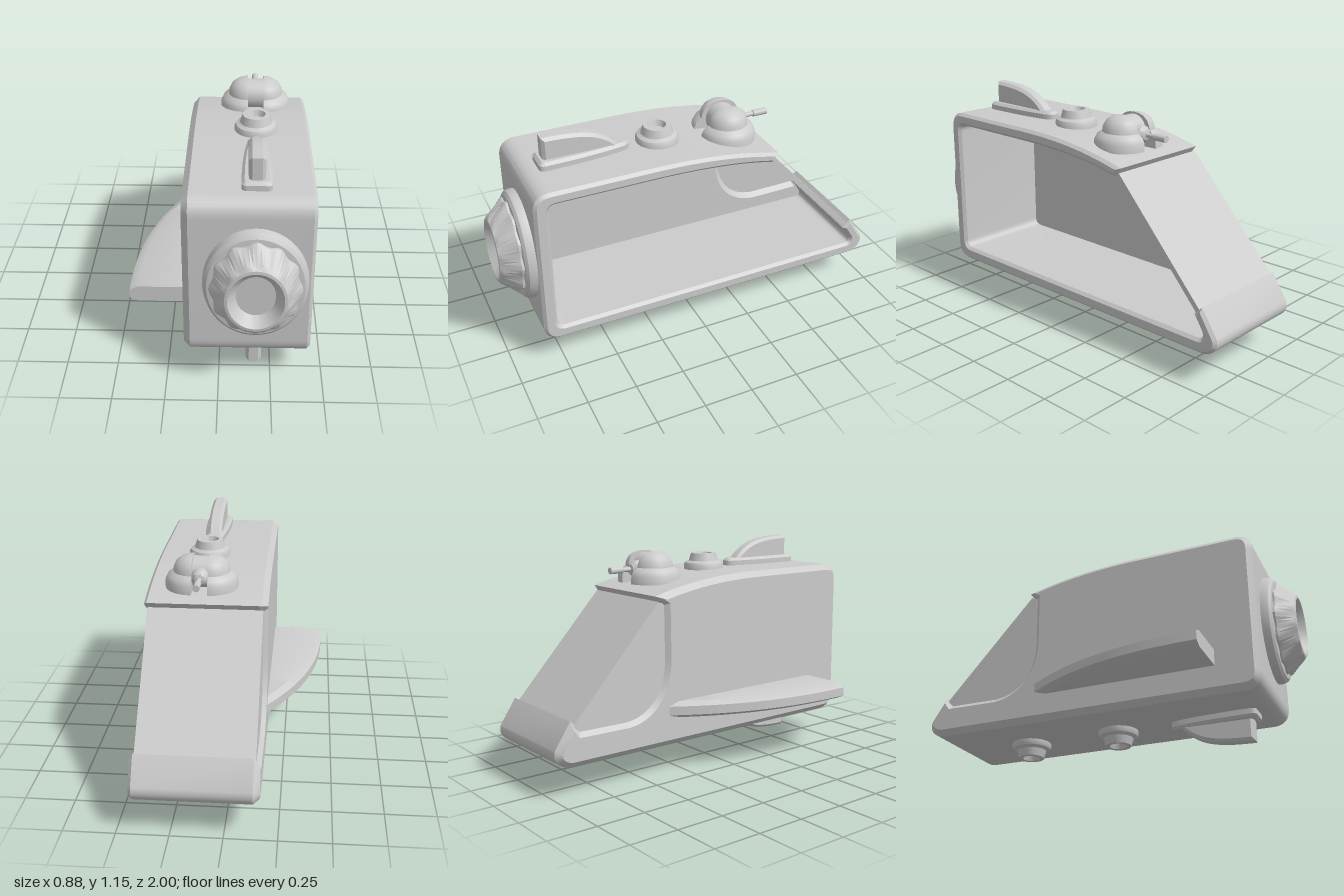
import * as THREE from 'three';
import { toCreasedNormals } from 'three/addons/utils/BufferGeometryUtils.js';

const MID = 0.17; // centre line of all fittings
const grey = new THREE.MeshStandardMaterial({ color: 0xcccccc, side: THREE.DoubleSide });

function part(parent, name, geometry, crease = 0.5) {
  const m = new THREE.Mesh(toCreasedNormals(geometry, crease), grey);
  m.name = name;
  parent.add(m);
  return m;
}

// Extrusion from 0 to depth with an inward chamfer at both ends
function slab(shape, depth, bevel) {
  return new THREE.ExtrudeGeometry(shape, {
    depth: depth - 2 * bevel, bevelEnabled: bevel > 0, bevelThickness: bevel,
    bevelSize: bevel, bevelOffset: -bevel, bevelSegments: 1, curveSegments: 14,
  }).translate(0, 0, bevel);
}

// Side profile (u = -z, y) extruded along x between x0 and x1
const across = (shape, x0, x1, bevel) =>
  slab(shape, x1 - x0, bevel).rotateY(Math.PI / 2).translate(x0, 0, 0);

const lathe = (pts, segs = 40, start = 0, len = Math.PI * 2) =>
  new THREE.LatheGeometry(pts.map(p => new THREE.Vector2(...p)), segs, start, len);

// Hull side profile; innerEdge draws from the nose lip to the roof tip
function hullProfile(innerEdge) {
  const s = new THREE.Shape();
  s.moveTo(-0.755, 0.155);
  s.lineTo(0.91, 0.155);
  s.bezierCurveTo(0.965, 0.157, 1.015, 0.195, 0.995, 0.25);
  s.lineTo(0.91, 0.378);
  innerEdge(s);
  s.lineTo(0.417, 0.92);
  s.bezierCurveTo(0.25, 0.965, 0.05, 1, -0.25, 1);
  s.lineTo(-0.755, 1);
  s.quadraticCurveTo(-0.845, 1, -0.845, 0.91);
  s.lineTo(-0.845, 0.245);
  s.quadraticCurveTo(-0.845, 0.155, -0.755, 0.155);
  return s;
}

function buildHull(g) {
  // Open C-shaped shell
  const shell = hullProfile(s => {
    s.lineTo(0.868, 0.335);
    s.lineTo(0.915, 0.262);
    s.quadraticCurveTo(0.93, 0.225, 0.89, 0.225);
    s.lineTo(-0.735, 0.225);
    s.quadraticCurveTo(-0.775, 0.225, -0.775, 0.265);
    s.lineTo(-0.775, 0.895);
    s.quadraticCurveTo(-0.775, 0.935, -0.735, 0.935);
    s.lineTo(-0.25, 0.935);
    s.bezierCurveTo(0, 0.935, 0.22, 0.915, 0.385, 0.875);
  });
  part(g, 'hullShell', across(shell, -0.145, 0.435, 0.015));

  // Closed side wall with the cut-away window corner
  const wall = hullProfile(s => {
    s.lineTo(0.865, 0.328);
    s.lineTo(0.6, 0.325);
    s.bezierCurveTo(0.46, 0.335, 0.375, 0.44, 0.372, 0.6);
    s.lineTo(0.375, 0.872);
  });
  part(g, 'sideWall', across(wall, -0.165, -0.1, 0.03));

  // Slanted windscreen and side glass
  const screen = new THREE.Shape([[0.385, 0.875], [0.885, 0.33], [0.902, 0.35], [0.402, 0.893]]
    .map(p => new THREE.Vector2(...p)));
  part(g, 'windscreen', across(screen, -0.143, 0.418, 0));
  const glass = new THREE.Shape([[0.355, 0.3], [0.885, 0.3], [0.89, 0.345], [0.395, 0.885], [0.355, 0.885]]
    .map(p => new THREE.Vector2(...p)));
  part(g, 'sideGlass', across(glass, -0.142, -0.125, 0));
}

// Oval front knob with a scalloped grip and a dished centre
function buildKnob(g) {
  const knob = new THREE.Group();
  knob.name = 'frontKnob';
  knob.position.set(MID, 0.585, 0);
  knob.scale.x = 0.85;
  part(knob, 'knobBase', lathe([[0.285, 0.83], [0.285, 0.865], [0.278, 0.885], [0.262, 0.897],
    [0.235, 0.9], [0, 0.9]], 56).rotateX(Math.PI / 2));
  const grip = lathe([[0.241, 0.88], [0.241, 0.91], [0.178, 0.985], [0.165, 0.998], [0.15, 1],
    [0.14, 0.99], [0.105, 0.955], [0, 0.955]], 72);
  const p = grip.attributes.position;
  for (let i = 0; i < p.count; i++) {
    const x = p.getX(i), z = p.getZ(i), r = Math.hypot(x, z);
    const amp = r > 0.2 ? 0.009 : r > 0.17 ? -0.006 : 0;
    if (!amp) continue;
    const k = (r + amp * Math.cos(12 * Math.atan2(x, z))) / r;
    p.setX(i, x * k);
    p.setZ(i, z * k);
  }
  part(knob, 'knobGrip', grip.rotateX(Math.PI / 2), 0.35);
  g.add(knob);
}

// Flat side wing: chamfered section swept along z, its tip curving into the wall
function buildWing(g) {
  const section = new THREE.Shape([[-0.13, 0.295], [-0.13, 0.38], [-0.4, 0.38], [-0.44, 0.36],
    [-0.44, 0.315], [-0.4, 0.295]].map(p => new THREE.Vector2(...p)));
  const geo = new THREE.ExtrudeGeometry(section, { depth: 0.98, steps: 28, bevelEnabled: false });
  geo.translate(0, 0, -0.357);
  const p = geo.attributes.position;
  for (let i = 0; i < p.count; i++) {
    if (p.getX(i) > -0.3) continue;
    const t = Math.max(0, (0.623 - p.getZ(i)) / 0.98);
    p.setX(i, Math.min(p.getX(i) + 0.275 * Math.pow(t, 2.4), -0.13));
  }
  part(g, 'sideWing', geo);
}

// Upright fin on a tapered pad
function finParts() {
  const fin = new THREE.Group();
  const pad = new THREE.Shape();
  pad.moveTo(-0.045, -0.745);
  pad.lineTo(0.045, -0.745);
  pad.quadraticCurveTo(0.07, -0.745, 0.07, -0.715);
  pad.bezierCurveTo(0.07, -0.55, 0.06, -0.42, 0.042, -0.32);
  pad.quadraticCurveTo(0.03, -0.283, 0, -0.283);
  pad.quadraticCurveTo(-0.03, -0.283, -0.042, -0.32);
  pad.bezierCurveTo(-0.06, -0.42, -0.07, -0.55, -0.07, -0.715);
  pad.quadraticCurveTo(-0.07, -0.745, -0.045, -0.745);
  part(fin, 'finPad', slab(pad, 0.06, 0.014).rotateX(-Math.PI / 2).translate(MID, 0.98, 0));
  const blade = new THREE.Shape();
  blade.moveTo(-0.72, 1);
  blade.lineTo(-0.33, 1);
  blade.lineTo(-0.34, 1.035);
  blade.bezierCurveTo(-0.42, 1.12, -0.5, 1.148, -0.72, 1.15);
  part(fin, 'finBlade', across(blade, MID - 0.038, MID + 0.038, 0.015));
  return fin;
}

function nozzle(g, name, y, z, dir) {
  const m = part(g, name, lathe([[0.107, -0.02], [0.107, 0.015], [0.1, 0.03], [0.085, 0.036],
    [0.08, 0.04], [0.068, 0.08], [0.046, 0.08], [0.036, 0.05], [0, 0.05]]));
  m.position.set(MID, y, z);
  if (dir < 0) m.rotation.x = Math.PI;
}

// Roof turret: two half domes, a drum between them and a short barrel
function buildTurret(g) {
  const turret = new THREE.Group();
  turret.name = 'roofTurret';
  turret.position.set(MID, 0.99, -0.235);
  const prof = [[0.142, -0.04], [0.14, 0.0], [0.128, 0.025], [0.102, 0.042], [0.098, 0.065],
    [0.084, 0.092], [0.06, 0.111], [0.03, 0.12], [0, 0.122]];
  const cut = new THREE.Shape([...prof, ...prof.slice(0, -1).reverse().map(([r, y]) => [-r, y])]
    .map(p => new THREE.Vector2(...p)));
  for (const s of [1, -1]) {
    const dome = new THREE.Group();
    dome.name = s > 0 ? 'leftDome' : 'rightDome';
    dome.position.x = s * 0.04;
    dome.rotation.y = s > 0 ? 0 : Math.PI;
    part(dome, 'domeShell', lathe(prof, 24, 0, Math.PI), 0.7);
    part(dome, 'domeInnerFace', new THREE.ShapeGeometry(cut).rotateY(-Math.PI / 2));
    turret.add(dome);
  }
  part(turret, 'drum', new THREE.CylinderGeometry(0.078, 0.078, 0.11, 32).rotateZ(Math.PI / 2)
    .translate(0, 0.035, 0));
  // Barrel along -z
  const barrel = lathe([[0.045, 0.06], [0.042, 0.1], [0.026, 0.118], [0.012, 0.122], [0.012, 0.165],
    [0.017, 0.17], [0.017, 0.243], [0, 0.243]], 20);
  part(turret, 'barrel', barrel.rotateX(-Math.PI / 2).translate(0, 0.032, 0));
  g.add(turret);
}

export function createModel() {
  const g = new THREE.Group();
  g.name = 'craftShell';
  buildHull(g);
  buildKnob(g);
  buildWing(g);
  // Fins above and, mirrored, below
  const top = finParts(), bottom = finParts();
  top.name = 'topFin';
  bottom.name = 'bottomFin';
  bottom.scale.y = -1;
  bottom.position.y = 1.153;
  g.add(top, bottom);
  nozzle(g, 'roofNozzle', 1, 0.13, 1);
  nozzle(g, 'frontBellyNozzle', 0.155, -0.02, -1);
  nozzle(g, 'rearBellyNozzle', 0.155, -0.54, -1);
  buildTurret(g);
  return g;
}
